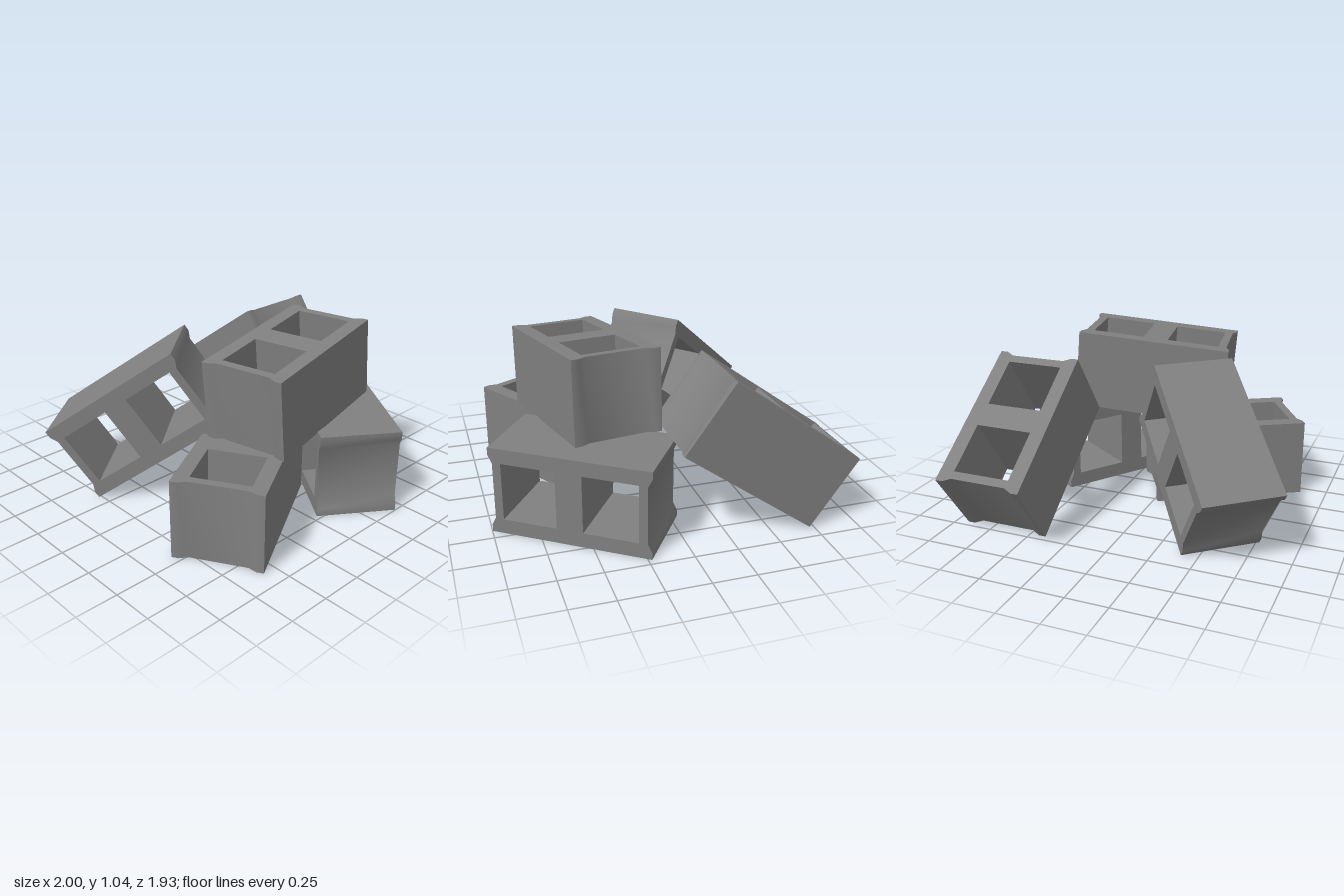
import * as THREE from 'three';
import { toCreasedNormals } from 'three/addons/utils/BufferGeometryUtils.js';

const L = 0.937, W = 0.52, H = 0.477; // block length, width, and height along the hollow cores

// One hollow block: x = length, y = width, z = core axis, centred on the origin
function blockGeometry() {
  const l = L / 2, w = W / 2, inset = 0.024;
  // end profile: corner flanges with a shallow recess between them
  const end = [
    [l, -w], [l, -w + 0.043], [l - inset, -w + 0.09],
    [l - inset, w - 0.09], [l, w - 0.043], [l, w],
  ];
  const outline = [...end, ...end.map(([x, y]) => [-x, -y])];
  const shape = new THREE.Shape(outline.map(([x, y]) => new THREE.Vector2(x, y)));

  // two rectangular cores
  for (const side of [-1, 1]) {
    const cx = side * 0.236, hx = 0.159, hy = 0.172;
    shape.holes.push(new THREE.Path([
      new THREE.Vector2(cx - hx, -hy), new THREE.Vector2(cx - hx, hy),
      new THREE.Vector2(cx + hx, hy), new THREE.Vector2(cx + hx, -hy),
    ]));
  }
  const geo = new THREE.ExtrudeGeometry(shape, { depth: H, bevelEnabled: false });
  geo.translate(0, 0, -H / 2);
  return toCreasedNormals(geo, 0.9);
}

export function createModel() {
  const pile = new THREE.Group();
  pile.name = 'blockPile';
  const geometry = blockGeometry();
  const material = new THREE.MeshStandardMaterial({ color: 0x808080 });
  const rad = THREE.MathUtils.degToRad;

  // heading turns the length in plan (from +x towards +z), pitch raises its far end,
  // roll turns it about its length; upright blocks have vertical cores, the others level ones
  function addBlock(name, position, heading, pitch, upright, roll = 0) {
    const a = rad(heading), p = rad(pitch);
    const along = new THREE.Vector3(
      Math.cos(a) * Math.cos(p), Math.sin(p), Math.sin(a) * Math.cos(p));
    const level = new THREE.Vector3(-Math.sin(a), 0, Math.cos(a));
    const core = upright ? level.clone().cross(along) : level;
    const across = core.clone().cross(along);
    const mesh = new THREE.Mesh(geometry, material);
    mesh.name = name;
    mesh.quaternion.setFromRotationMatrix(new THREE.Matrix4().makeBasis(along, across, core));
    mesh.rotateX(rad(roll));
    mesh.position.set(...position);
    pile.add(mesh);
  }

  addBlock('frontBaseBlock', [0.433, 0.239, 0.305], 60, 0, true);
  addBlock('backBaseBlock', [0.477, 0.262, -0.5], 35, 0, false);
  addBlock('topBlock', [0.385, 0.758, -0.13], 80, -4.8, true, 0.9);
  addBlock('frontLeaningBlock', [-0.299, 0.487, 0.437], -39.9, 35, false);
  addBlock('backLeaningBlock', [-0.479, 0.475, -0.655], 0, 35.7, true);
  return pile;
}
